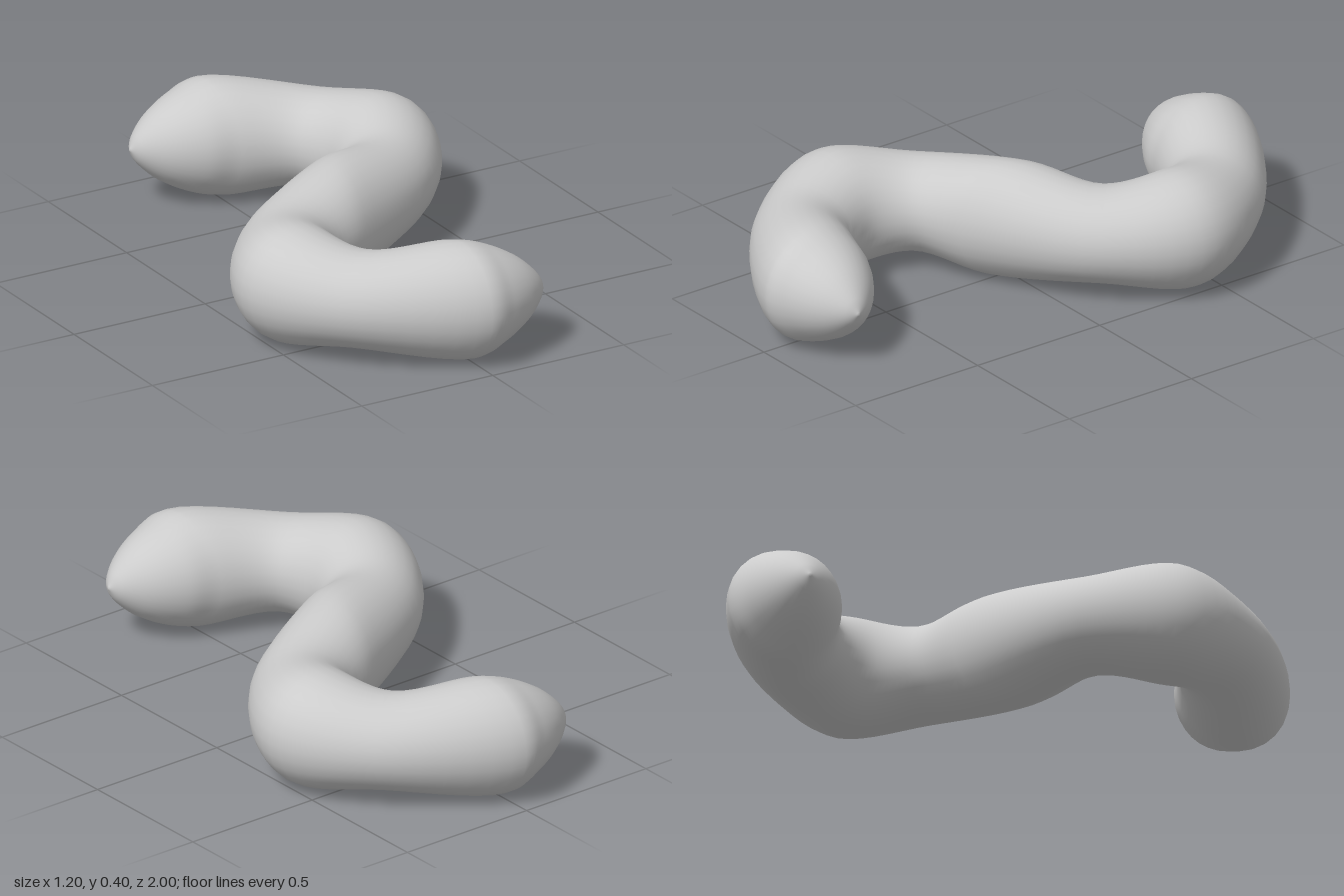
import * as THREE from 'three';
import { mergeVertices } from 'three/addons/utils/BufferGeometryUtils.js';

const SIDES = 28;
const STEPS = 7; // subdivisions between two rings

// Rings from the front tip to the middle:
// centre x, centre z, sideways half-axis (x, z), vertical half-axis
const HALF = [
  [0.293, 0.83, 0, 0, 0],
  [0.268, 0.825, 0, 0.047, 0.048],
  [0.2, 0.815, 0, 0.115, 0.115],
  [0.1, 0.806, 0, 0.172, 0.17],
  [0, 0.8, 0, 0.2, 0.2],
  [-0.285, 0.625, -0.135, 0.105, 0.162],
  [-0.4, 0.4, -0.2, 0, 0.2],
  [-0.285, 0.175, -0.135, -0.105, 0.162],
  [0, 0, 0, -0.2, 0.2],
];

function buildBody() {
  // The back half is the front half turned half a circle about y
  const back = HALF.slice(0, -1).reverse().map(([x, z, sx, sz, ry]) => [-x, -z, sx, sz, ry]);
  const rings = [...HALF, ...back];
  const rows = (rings.length - 1) * STEPS;
  const positions = [];
  const indices = [];

  // One smooth lengthwise curve for each side of the cross-section
  for (let j = 0; j < SIDES; j++) {
    const a = (j / SIDES) * Math.PI * 2;
    const curve = new THREE.CatmullRomCurve3(rings.map(([x, z, sx, sz, ry]) =>
      new THREE.Vector3(x + sx * Math.cos(a), 0.2 + ry * Math.sin(a), z + sz * Math.cos(a))));
    for (let i = 0; i <= rows; i++) positions.push(...curve.getPoint(i / rows).toArray());
  }

  // Skin between neighbouring curves, closing to a point at both tips
  const at = (i, j) => (j % SIDES) * (rows + 1) + i;
  for (let j = 0; j < SIDES; j++) {
    for (let i = 0; i < rows; i++) {
      if (i > 0) indices.push(at(i, j), at(i, j + 1), at(i + 1, j));
      if (i < rows - 1) indices.push(at(i, j + 1), at(i + 1, j + 1), at(i + 1, j));
    }
  }

  let geometry = new THREE.BufferGeometry();
  geometry.setAttribute('position', new THREE.Float32BufferAttribute(positions, 3));
  geometry.setIndex(indices);
  geometry = mergeVertices(geometry, 1e-5);
  geometry.computeVertexNormals();
  return geometry;
}

export function createModel() {
  const group = new THREE.Group();
  group.name = 'windingTube';
  const body = new THREE.Mesh(buildBody(), new THREE.MeshStandardMaterial({ color: 0xcccccc }));
  body.name = 'tubeBody';
  group.add(body);
  return group;
}
